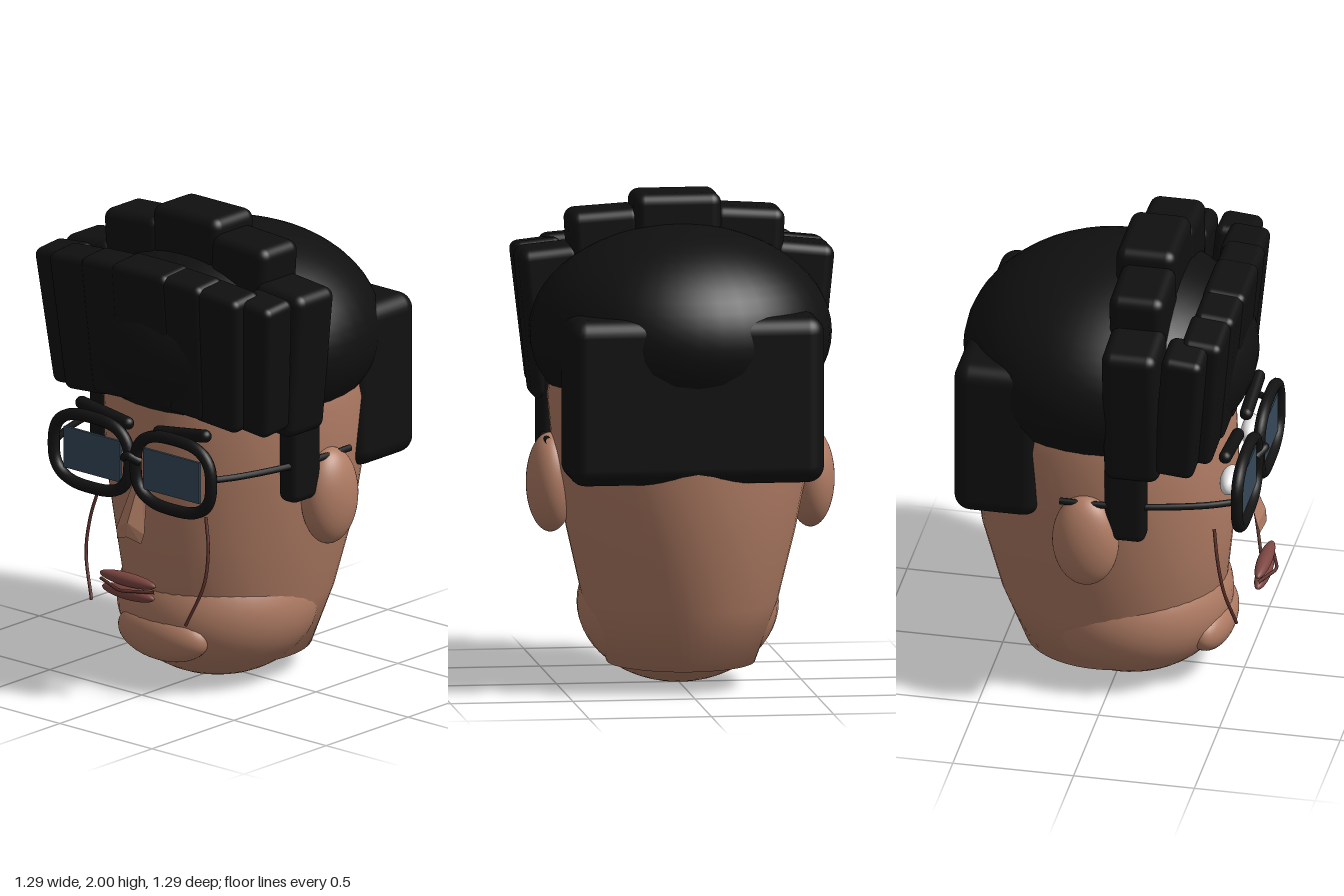
import * as THREE from 'three';
import { mergeVertices } from 'three/addons/utils/BufferGeometryUtils.js';
import { RoundedBoxGeometry } from 'three/addons/geometries/RoundedBoxGeometry.js';

const mat = (name, color, extra = {}) =>
  Object.assign(new THREE.MeshStandardMaterial({ color, ...extra }), { name });

export function createModel() {
  const root = new THREE.Group();
  root.name = 'head';
  const skin = mat('skin', 0xb07c64);
  const noseSkin = mat('noseSkin', 0xb07c64, { side: THREE.DoubleSide, flatShading: true });
  const hair = mat('hair', 0x101010);
  const frame = mat('frame', 0x121212);
  const lensMat = mat('lens', 0x36495a);
  const white = mat('eyeWhite', 0xeeeeee);
  const lip = mat('lip', 0x7c4641);
  const crease = mat('crease', 0x5c302a);

  const add = (name, geo, material, x = 0, y = 0, z = 0, rx = 0, ry = 0, rz = 0) => {
    const m = new THREE.Mesh(geo, material);
    m.name = name;
    m.position.set(x, y, z);
    m.rotation.set(rx, ry, rz);
    root.add(m);
    return m;
  };
  const ellipsoid = (a, b, c) => new THREE.SphereGeometry(1, 40, 28).scale(a, b, c);
  const block = (w, h, d, r) => new RoundedBoxGeometry(w, h, d, 4, r);
  const tube = (pts, r, closed = false) => new THREE.TubeGeometry(
    new THREE.CatmullRomCurve3(pts.map(p => new THREE.Vector3(...p)), closed), closed ? 72 : 28, r, 10, closed);

  // Skull: elliptical rings of [y, half width, front z, back z]
  const rings = [
    [0.1, 0.001, -0.05, -0.051], [0.1, 0.3, 0.28, -0.4], [0.35, 0.395, 0.42, -0.5],
    [0.65, 0.465, 0.45, -0.58], [0.9, 0.515, 0.47, -0.6], [1.2, 0.545, 0.455, -0.605],
    [1.45, 0.5, 0.4, -0.56], [1.62, 0.34, 0.25, -0.4], [1.68, 0.001, -0.05, -0.051]];
  let skull = new THREE.LatheGeometry(rings.map(r => new THREE.Vector2(r[1], r[0])), 56);
  const pos = skull.attributes.position;
  for (let i = 0; i < pos.count; i++) {
    const [, w, f, b] = rings[i % rings.length];
    pos.setZ(i, pos.getZ(i) / w * (f - b) / 2 + (f + b) / 2);
  }
  skull.deleteAttribute('uv');
  skull.deleteAttribute('normal');
  skull = mergeVertices(skull, 1e-5);
  skull.computeVertexNormals();
  add('skull', skull, skin);
  add('jaw', ellipsoid(0.41, 0.325, 0.42), skin, 0, 0.33, 0.03);
  add('chin', ellipsoid(0.23, 0.115, 0.1), skin, 0, 0.24, 0.368);

  // Nose: shallow folded sheet with a faceted tip
  const nose = new THREE.BufferGeometry();
  nose.setAttribute('position', new THREE.Float32BufferAttribute([
    -0.03, 0.95, 0.495, 0, 0.95, 0.505, 0.03, 0.95, 0.495,
    -0.075, 0.72, 0.57, 0, 0.76, 0.588, 0.075, 0.72, 0.57,
    -0.065, 0.68, 0.578, 0, 0.7, 0.592, 0.065, 0.68, 0.578], 3));
  nose.setIndex([0, 3, 4, 0, 4, 1, 1, 4, 5, 1, 5, 2, 3, 6, 7, 3, 7, 4, 4, 7, 8, 4, 8, 5]);
  nose.computeVertexNormals();
  add('nose', nose, noseSkin);

  // Mouth
  add('upperLip', ellipsoid(0.15, 0.028, 0.03), lip, 0, 0.518, 0.585);
  add('lowerLip', ellipsoid(0.14, 0.03, 0.03), lip, 0, 0.462, 0.582);
  add('mouthLine', tube([[-0.145, 0.493, 0.585], [-0.07, 0.488, 0.612], [0, 0.483, 0.632],
    [0.07, 0.488, 0.612], [0.145, 0.493, 0.585]], 0.007), crease);

  // Paired parts
  for (const s of [-1, 1]) {
    add('ear', ellipsoid(0.098, 0.203, 0.137), skin, s * 0.532, 0.84, -0.047);
    add('eye', ellipsoid(0.085, 0.053, 0.04), white, s * 0.21, 1.0, 0.485);
    add('eyebrow', new THREE.CapsuleGeometry(0.027, 0.25, 6, 14), hair,
      s * 0.21, 1.16, 0.49, 0, 0, s * (0.14 - Math.PI / 2));
    add('cheekCrease', tube([[s * 0.29, 0.81, 0.435], [s * 0.32, 0.68, 0.455],
      [s * 0.32, 0.54, 0.48], [s * 0.255, 0.36, 0.52]], 0.007), crease);
    add('sideburn', block(0.1, 0.5, 0.17, 0.035), hair, s * 0.516, 1.11, 0.117);

    // Glasses rim: rounded squarish loop
    const loop = [];
    for (let i = 0; i < 24; i++) {
      const a = i / 24 * Math.PI * 2, c = Math.cos(a), n = Math.sin(a);
      loop.push([0.205 * Math.sign(c) * Math.abs(c) ** 0.72,
        0.15 * Math.sign(n) * Math.abs(n) ** 0.72, 0]);
    }
    add('glassesRim', tube(loop, 0.025, true), frame, s * 0.222, 1.005, 0.557);
    add('glassesLens', new THREE.BoxGeometry(0.305, 0.175, 0.012), lensMat, s * 0.215, 1.0, 0.557);
    add('glassesArm', tube([[s * 0.415, 1.02, 0.55], [s * 0.47, 1.02, 0.43],
      [s * 0.53, 1.02, 0.2], [s * 0.55, 1.02, 0], [s * 0.55, 1.02, -0.15]], 0.014), frame);
  }
  add('glassesBridge', tube([[-0.045, 1.02, 0.557], [0, 1.045, 0.585], [0.045, 1.02, 0.557]], 0.018), frame);

  // Hair cap and squared back
  add('hairCap', ellipsoid(0.615, 0.43, 0.6), hair, 0, 1.45, -0.05);
  add('hairBack', block(1.045, 0.68, 0.355, 0.07), hair, 0, 1.23, -0.4275);

  // Fringe: upright blocks fanning outward; [x, width, centre y, height, centre z]
  const fringe = [[0.51, 0.2, 1.49, 0.58, 0.345], [0.37, 0.24, 1.505, 0.59, 0.4], [0.19, 0.25, 1.525, 0.59, 0.415]];
  for (const [x, w, y, h, z] of fringe) for (const s of [-1, 1])
    add('fringeBlock', block(w, h, 0.17, 0.035), hair, s * x, y, z, 0.09, 0, -s * x * 0.21);
  add('fringeBlock', block(0.3, 0.59, 0.18, 0.035), hair, 0, 1.535, 0.42, 0.09);

  // Crown: stepped row behind the fringe
  add('crownBlock', block(0.36, 0.32, 0.25, 0.045), hair, 0, 1.84, 0.125);
  for (const s of [-1, 1]) {
    add('crownBlock', block(0.3, 0.34, 0.23, 0.045), hair, s * 0.285, 1.765, 0.14, 0, 0, -s * 0.06);
    add('crownSide', block(0.26, 0.62, 0.23, 0.045), hair, s * 0.49, 1.475, 0.15, 0, 0, -s * 0.1);
  }
  return root;
}
